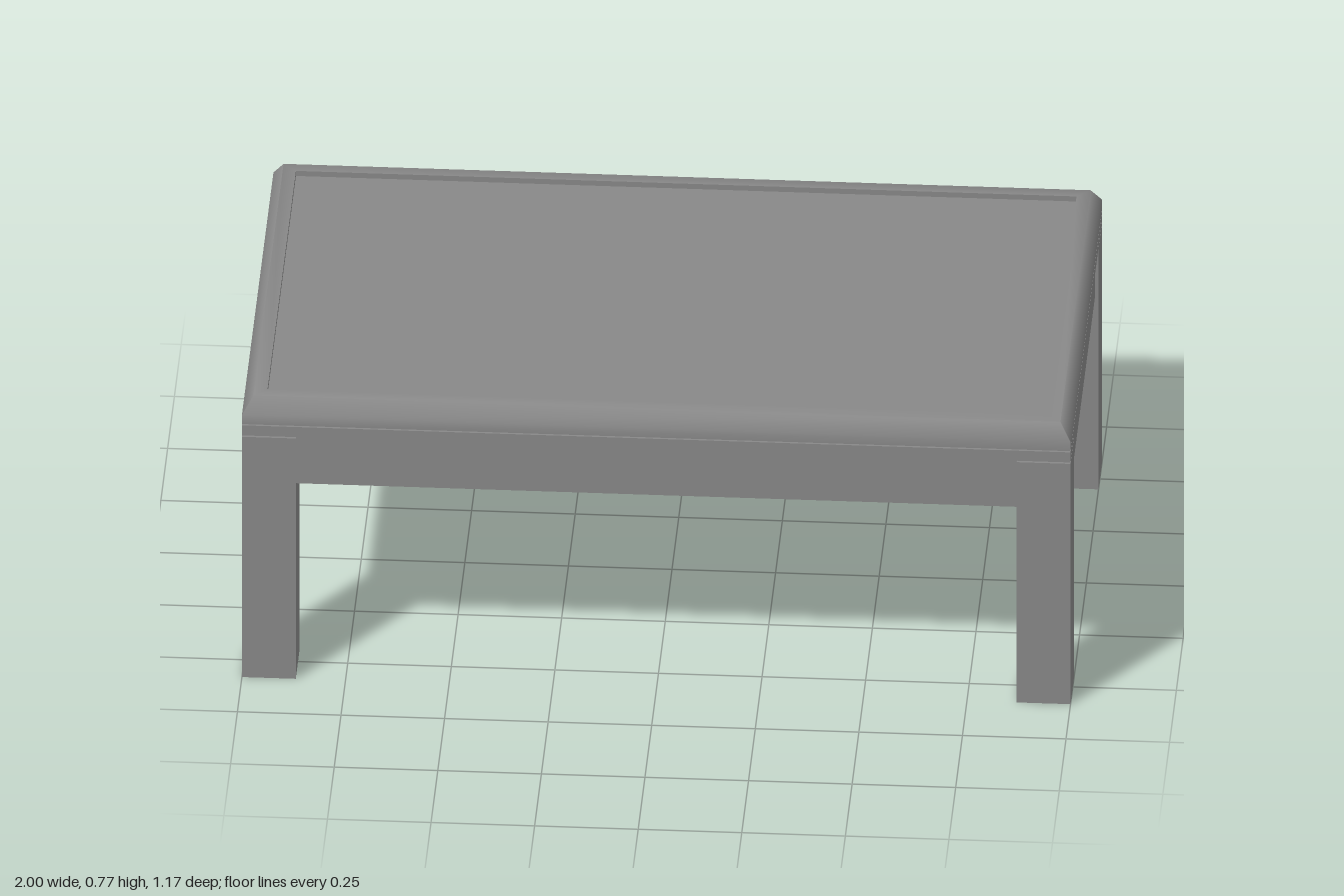
import * as THREE from 'three';
import { toCreasedNormals } from 'three/addons/utils/BufferGeometryUtils.js';

const HX = 1, HZ = 0.583;            // half extents of the table
const LEG_X = 0.13, LEG_Z = 0.133;   // leg section
const LEG_TOP = 0.669, APRON_LOW = 0.54;
const APRON_INSET = 0.008, APRON_THICK = 0.02;

const material = new THREE.MeshStandardMaterial({ color: 0x888888 });

function box(name, parent, w, h, d, x, y, z) {
  const mesh = new THREE.Mesh(new THREE.BoxGeometry(w, h, d), material);
  mesh.name = name;
  mesh.position.set(x, y, z);
  parent.add(mesh);
}

// Stacks rectangular rings, each given as [inset from the edge, height], and caps both ends
function rectangularLoft(profile) {
  const pos = [];
  const corners = profile.map(([inset, y]) => {
    const x = HX - inset, z = HZ - inset;
    return [[x, y, z], [x, y, -z], [-x, y, -z], [-x, y, z]];
  });
  const quad = (a, b, c, d) => pos.push(...a, ...b, ...c, ...a, ...c, ...d);
  for (let i = 0; i < corners.length - 1; i++) {
    const low = corners[i], high = corners[i + 1];
    for (let k = 0; k < 4; k++) {
      const n = (k + 1) % 4;
      quad(low[k], low[n], high[n], high[k]);
    }
  }
  quad(...corners[corners.length - 1]);
  quad(...[...corners[0]].reverse());
  const geometry = new THREE.BufferGeometry();
  geometry.setAttribute('position', new THREE.Float32BufferAttribute(pos, 3));
  // Softens the bevel along the rim, keeps mitres and square edges sharp
  return toCreasedNormals(geometry, 1.0);
}

export function createModel() {
  const table = new THREE.Group();
  table.name = 'coffeeTable';

  // Top: shadow gap, lower slab, thin groove, soft bevelled rim and sunken panel
  const top = new THREE.Mesh(rectangularLoft([
    [0.035, LEG_TOP], [0.035, 0.673],
    [0, 0.673], [0, 0.701],
    [0.006, 0.701], [0.006, 0.705],
    [0, 0.705], [0, 0.73],
    [0.026, 0.77], [0.058, 0.77],
    [0.058, 0.756],
  ]), material);
  top.name = 'tableTop';
  table.add(top);

  // Legs at the four corners
  const legs = new THREE.Group();
  legs.name = 'legs';
  for (const sx of [-1, 1]) {
    for (const sz of [-1, 1]) {
      const name = (sz > 0 ? 'front' : 'back') + (sx > 0 ? 'Left' : 'Right') + 'Leg';
      box(name, legs, LEG_X, LEG_TOP, LEG_Z,
        sx * (HX - LEG_X / 2), LEG_TOP / 2, sz * (HZ - LEG_Z / 2));
    }
  }
  table.add(legs);

  // Aprons between the legs, set slightly behind their outer faces
  const aprons = new THREE.Group();
  aprons.name = 'aprons';
  const h = LEG_TOP - APRON_LOW, y = (LEG_TOP + APRON_LOW) / 2;
  const back = APRON_INSET + APRON_THICK / 2;
  for (const s of [-1, 1]) {
    box(s > 0 ? 'frontApron' : 'backApron', aprons,
      2 * (HX - LEG_X), h, APRON_THICK, 0, y, s * (HZ - back));
    box(s > 0 ? 'leftApron' : 'rightApron', aprons,
      APRON_THICK, h, 2 * (HZ - LEG_Z), s * (HX - back), y, 0);
  }
  table.add(aprons);

  return table;
}
